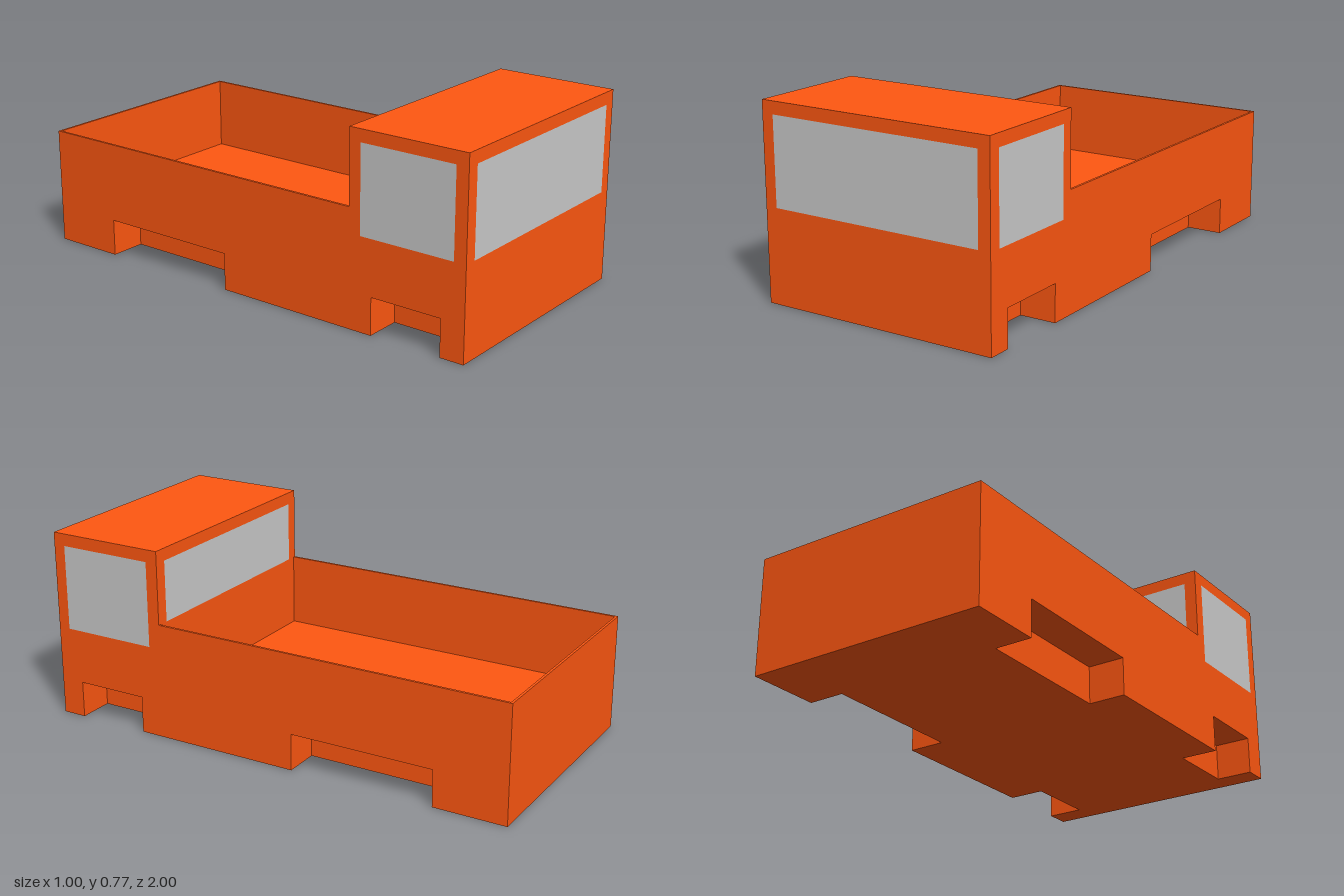
import * as THREE from 'three';

const W = 0.5, T = 0.01;              // half width, sheet thickness
const DECK = 0.175, RAIL = 0.475, ROOF = 0.775, CAB_BACK = 0.5;
const WELL_H = 0.15, WELL_D = 0.15;
const WELLS = [[-0.7, -0.1], [0.6, 0.9]]; // z ranges of the wheel wells

export function createModel() {
  const model = new THREE.Group();
  const paint = new THREE.MeshStandardMaterial({ color: 0xff5711, flatShading: true });
  const glass = new THREE.MeshStandardMaterial({ color: 0xcccccc });

  const add = (name, geometry, material = paint) => {
    const mesh = new THREE.Mesh(geometry, material);
    mesh.name = name;
    model.add(mesh);
    return mesh;
  };
  const box = (name, x, y0, y1, z0, z1) =>
    add(name, new THREE.BoxGeometry(2 * x, y1 - y0, z1 - z0)
      .translate(0, (y0 + y1) / 2, (z0 + z1) / 2));
  const shapeOf = (pts) => new THREE.Shape(pts.map(([a, b]) => new THREE.Vector2(a, b)));

  // Side panels: the whole profile in (z, y) with both wheel openings
  const sill = WELLS.flatMap(([a, b]) => [[a, 0], [a, WELL_H], [b, WELL_H], [b, 0]]);
  const profile = shapeOf([[-1, 0], ...sill, [1, 0], [1, ROOF],
    [CAB_BACK, ROOF], [CAB_BACK, RAIL], [-1, RAIL]]);
  for (const [name, x] of [['leftSidePanel', W], ['rightSidePanel', -W + T]]) {
    const g = new THREE.ExtrudeGeometry(profile, { depth: T, bevelEnabled: false });
    add(name, g.rotateY(-Math.PI / 2).scale(1, 1, 1).translate(x, 0, 0));
  }

  // Chassis: plan outline in (x, z), stepped in at each wheel well
  const inner = W - T, well = W - WELL_D;
  const edge = [[inner, -1],
    ...WELLS.flatMap(([a, b]) => [[inner, a], [well, a], [well, b], [inner, b]]),
    [inner, 1]];
  const plan = shapeOf([...edge, ...edge.map(([x, z]) => [-x, z]).reverse()]);
  add('chassis', new THREE.ExtrudeGeometry(plan, { depth: WELL_H, bevelEnabled: false })
    .rotateX(Math.PI / 2).translate(0, WELL_H, 0));

  // Load bed and cab between the side panels
  box('bedFloor', inner, WELL_H, DECK, -1, CAB_BACK);
  box('tailgate', inner, DECK, RAIL, -1, -1 + T);
  box('cab', inner, WELL_H, ROOF, CAB_BACK, 1);

  // Window panes lying flush on the cab faces
  const pane = (name, w, y0, y1, x, z, turn) => {
    const mesh = add(name, new THREE.PlaneGeometry(w, y1 - y0), glass);
    mesh.position.set(x, (y0 + y1) / 2, z);
    mesh.rotation.y = turn;
  };
  const e = 0.001;
  pane('windscreen', 0.9, 0.375, 0.725, 0, 1 + e, 0);
  pane('rearWindow', 0.9, 0.475, 0.725, 0, CAB_BACK - e, Math.PI);
  pane('leftWindow', 0.4, 0.375, 0.725, W + e, 0.75, Math.PI / 2);
  pane('rightWindow', 0.4, 0.375, 0.725, -W - e, 0.75, -Math.PI / 2);

  return model;
}
